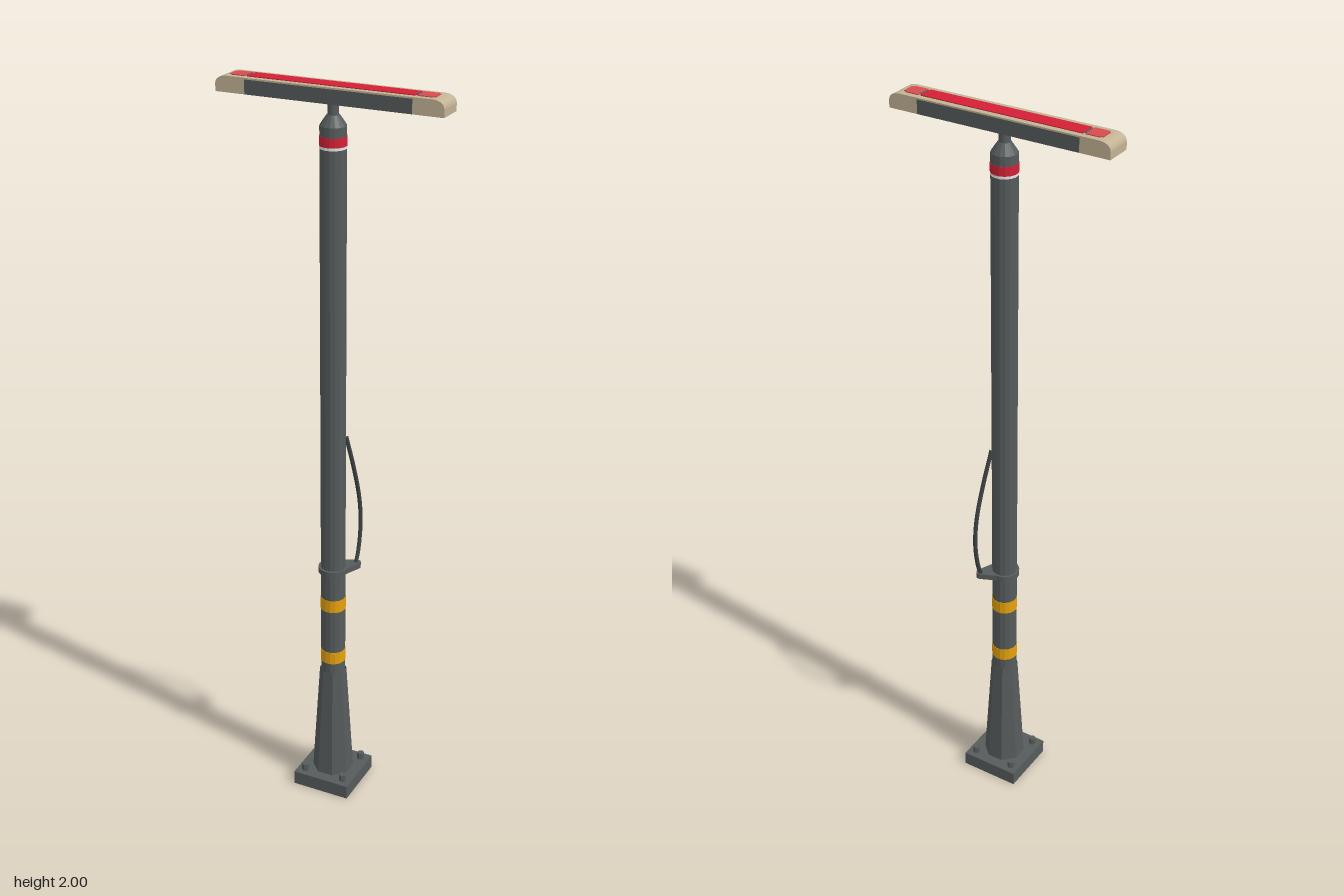
import * as THREE from 'three';

const mat = (name, color, extra = {}) => {
  const m = new THREE.MeshStandardMaterial({ color, ...extra });
  m.name = name;
  return m;
};

export function createModel() {
  const model = new THREE.Group();
  const flat = { flatShading: true };
  const grey = mat('slate grey', 0x565b5c, flat);
  const greyOpen = mat('slate grey', 0x565b5c, { ...flat, side: THREE.DoubleSide });
  const dark = mat('dark cable', 0x3e4344);
  const beige = mat('beige', 0xc2b394, flat);
  const red = mat('red', 0xd42036, flat);
  const paleRed = mat('pale red', 0xd64c4e, flat);
  const yellow = mat('yellow', 0xeaa40c, flat);
  const white = mat('white', 0xe8e8e4, flat);

  const add = (name, geo, material, x = 0, y = 0, z = 0) => {
    const mesh = new THREE.Mesh(geo, material);
    mesh.name = name;
    mesh.position.set(x, y, z);
    model.add(mesh);
    return mesh;
  };
  // Upright faceted tube between two heights, a flat side facing the front
  const column = (name, material, y0, y1, r0, r1, sides = 16, open = false) => {
    const k = 1 / Math.cos(Math.PI / sides);
    const geo = new THREE.CylinderGeometry(r1 * k, r0 * k, y1 - y0, sides, 1, open);
    geo.rotateY(Math.PI / sides);
    return add(name, geo, material, 0, (y0 + y1) / 2, 0);
  };
  const box = (name, material, w, h, d, x, y, z) =>
    add(name, new THREE.BoxGeometry(w, h, d), material, x, y, z);

  // Base plate with a round opening underneath
  const plate = new THREE.Shape([[-1, -1], [1, -1], [1, 1], [-1, 1]]
    .map(([x, y]) => new THREE.Vector2(x * 0.083, y * 0.083)));
  plate.holes.push(new THREE.Path().absarc(0, 0, 0.05, 0, Math.PI * 2, true));
  const plateGeo = new THREE.ExtrudeGeometry(plate, { depth: 0.04, bevelEnabled: false, curveSegments: 8 });
  plateGeo.rotateX(-Math.PI / 2);
  add('basePlate', plateGeo, grey);

  // Hex anchor bolts
  for (const sx of [-1, 1]) for (const sz of [-1, 1]) {
    add('anchorBolt', new THREE.CylinderGeometry(0.01, 0.01, 0.02, 6), grey, sx * 0.059, 0.05, sz * 0.059);
  }

  // Flared foot, pole and shoulder
  column('flaredFoot', greyOpen, 0.036, 0.37, 0.053, 0.034, 8, true);
  column('pole', grey, 0.35, 1.9, 0.033, 0.033);
  column('shoulder', grey, 1.9, 1.926, 0.033, 0.016);
  column('neck', grey, 1.92, 1.965, 0.014, 0.014);

  // Painted bands
  for (const y of [0.4, 0.565]) column('yellowBand', yellow, y, y + 0.036, 0.0342, 0.0342);
  column('redBand', red, 1.852, 1.875, 0.0342, 0.0342);
  column('whiteBand', white, 1.845, 1.852, 0.0338, 0.0338);

  // Collar with a lug towards the back right corner
  const collar = new THREE.Shape();
  const a = Math.PI / 4;
  collar.absarc(0, 0, 0.04, a + 0.75, a - 0.75 + Math.PI * 2, false);
  collar.absarc(0.047, 0.047, 0.012, a - 1.2, a + 1.2, false);
  collar.closePath();
  const collarGeo = new THREE.ExtrudeGeometry(collar, { depth: 0.016, bevelEnabled: false, curveSegments: 10 });
  collarGeo.rotateX(-Math.PI / 2);
  add('collar', collarGeo, grey, 0, 0.678, 0);

  // Hanging cable
  const path = new THREE.CatmullRomCurve3([
    [0.045, 0.685, -0.045], [0.046, 0.72, -0.06], [0.047, 0.8, -0.072],
    [0.045, 0.88, -0.067], [0.038, 0.98, -0.045], [0.027, 1.08, -0.02],
  ].map((p) => new THREE.Vector3(...p)));
  add('cable', new THREE.TubeGeometry(path, 28, 0.0058, 8), dark);

  // Head: long housing with a beige lid
  box('housing', grey, 0.44, 0.036, 0.074, 0, 1.976, 0);
  box('lid', beige, 0.44, 0.004, 0.074, 0, 1.996, 0);

  // End caps with rounded top corners
  const end = new THREE.Shape();
  end.moveTo(0.22, 1.958);
  end.lineTo(0.3, 1.958);
  end.lineTo(0.3, 1.978);
  end.quadraticCurveTo(0.298, 1.996, 0.272, 1.998);
  end.lineTo(0.22, 1.998);
  const endGeo = new THREE.ExtrudeGeometry(end, { depth: 0.074, bevelEnabled: false, curveSegments: 6 });
  endGeo.translate(0, 0, -0.037);
  add('endCap', endGeo, beige);
  add('endCap', endGeo, beige).rotation.y = Math.PI;

  // Lamp panels on top
  box('lampPanel', red, 0.44, 0.003, 0.043, 0, 1.9985, 0);
  for (const s of [-1, 1]) {
    box('panelGap', grey, 0.006, 0.003, 0.028, s * 0.223, 1.9985, 0);
    box('endLamp', paleRed, 0.038, 0.003, 0.043, s * 0.245, 1.9985, 0);
    box('endLampTip', paleRed, 0.006, 0.003, 0.033, s * 0.267, 1.9985, 0);
  }
  return model;
}
